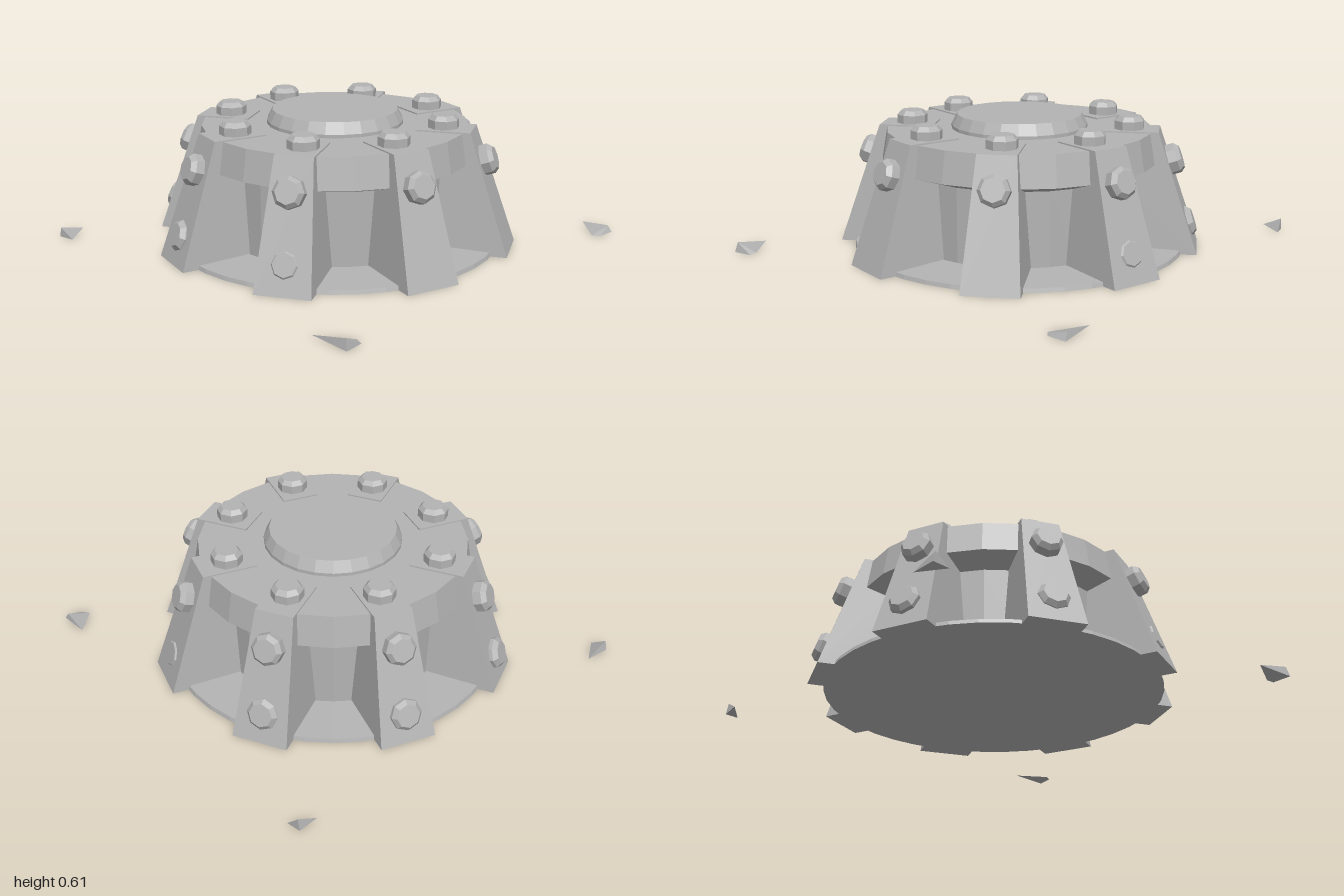
import * as THREE from 'three';
import { ConvexGeometry } from 'three/addons/geometries/ConvexGeometry.js';

const stone = new THREE.MeshStandardMaterial({ color: 0xb3b3b3 });
stone.name = 'grey';

function part(geometry, name, flat = true) {
  let g = geometry;
  if (flat) {
    g = geometry.index ? geometry.toNonIndexed() : geometry;
    g.computeVertexNormals();
  }
  const mesh = new THREE.Mesh(g, stone);
  mesh.name = name;
  return mesh;
}

function lathe(points, sides) {
  return new THREE.LatheGeometry(points.map(([r, y]) => new THREE.Vector2(r, y)), sides);
}

// Buttress: side profile extruded sideways, narrowing towards the top
function ribGeometry() {
  const shape = new THREE.Shape(
    [[0.82, 0], [0.635, 0.546], [0.39, 0.546], [0.39, 0.4], [0.48, 0]]
      .map(([r, y]) => new THREE.Vector2(r, y)));
  const g = new THREE.ExtrudeGeometry(shape, { depth: 1, bevelEnabled: false });
  g.translate(0, 0, -0.5);
  g.rotateY(-Math.PI / 2);
  const p = g.attributes.position;
  for (let i = 0; i < p.count; i++) {
    p.setX(i, p.getX(i) * (0.25 - 0.08 * p.getY(i) / 0.546));
  }
  return g;
}

// Eight-sided chamfered bolt head, standing on its local y = 0
const boltGeometry = lathe(
  [[0, -0.03], [0.07, -0.03], [0.07, 0.038], [0.052, 0.058], [0, 0.058]], 8);

export function createModel() {
  const model = new THREE.Group();
  model.name = 'riveted pedestal';
  const body = new THREE.Group();
  body.name = 'pedestal';
  body.position.z = -0.02;
  model.add(body);

  // Base flange, upright core and overhanging top ring
  body.add(part(lathe([[0, 0], [0.76, 0], [0.755, 0.018], [0.52, 0.028]], 40), 'baseFlange'));
  body.add(part(lathe([[0.52, 0.01], [0.52, 0.37]], 24), 'core'));
  body.add(part(lathe([[0.5, 0.355], [0.63, 0.4], [0.605, 0.54], [0, 0.54]], 24), 'topRing'));
  body.add(part(lathe([[0.31, 0.53], [0.31, 0.555], [0.285, 0.605], [0, 0.605]], 24), 'topDisc'));

  // Eight buttresses, each with a top bolt and two face bolts
  const ribShape = ribGeometry();
  const slope = Math.atan2(0.546, 0.185);
  const faceRadius = (y) => 0.82 - 0.185 * y / 0.546;
  for (let i = 0; i < 8; i++) {
    const angle = (i + 0.5) * Math.PI / 4;
    const rib = new THREE.Group();
    rib.name = 'buttress';
    rib.rotation.y = angle;
    rib.add(part(ribShape, 'buttressBlock'));

    const top = part(boltGeometry, 'topBolt');
    top.position.set(0, 0.546, 0.5);
    top.rotation.y = Math.PI / 8;
    rib.add(top);

    // Lower bolts sit deeper towards the front
    const sunk = -0.042 - 0.022 * Math.cos(angle);
    for (const [y, push, name] of [[0.405, 0, 'upperBolt'], [0.125, sunk, 'lowerBolt']]) {
      const bolt = part(boltGeometry, name);
      bolt.position.set(0, y + push * Math.cos(slope), faceRadius(y) + push * Math.sin(slope));
      bolt.rotation.x = slope;
      rib.add(bolt);
    }
    body.add(rib);
  }

  // Loose stone shards on the ground
  const shards = [
    [[-0.82, 0, -1], [-0.69, 0.01, -0.99], [-0.815, 0, -0.92], [-0.82, 0.045, -0.99]],
    [[0.9, 0.01, -0.825], [0.99, 0, -0.82], [0.995, 0, -0.755], [0.99, 0.055, -0.81]],
    [[-0.98, 0.01, 0.63], [-1, 0, 0.81], [-0.91, 0, 0.81], [-0.9, 0.005, 0.78], [-0.99, 0.045, 0.8]],
    [[0.82, 0.015, 0.84], [0.7, 0, 0.95], [0.72, 0, 0.985], [0.805, 0, 1], [0.8, 0.03, 0.98]],
  ];
  for (const corners of shards) {
    model.add(part(new ConvexGeometry(corners.map((c) => new THREE.Vector3(...c))), 'shard'));
  }
  return model;
}
